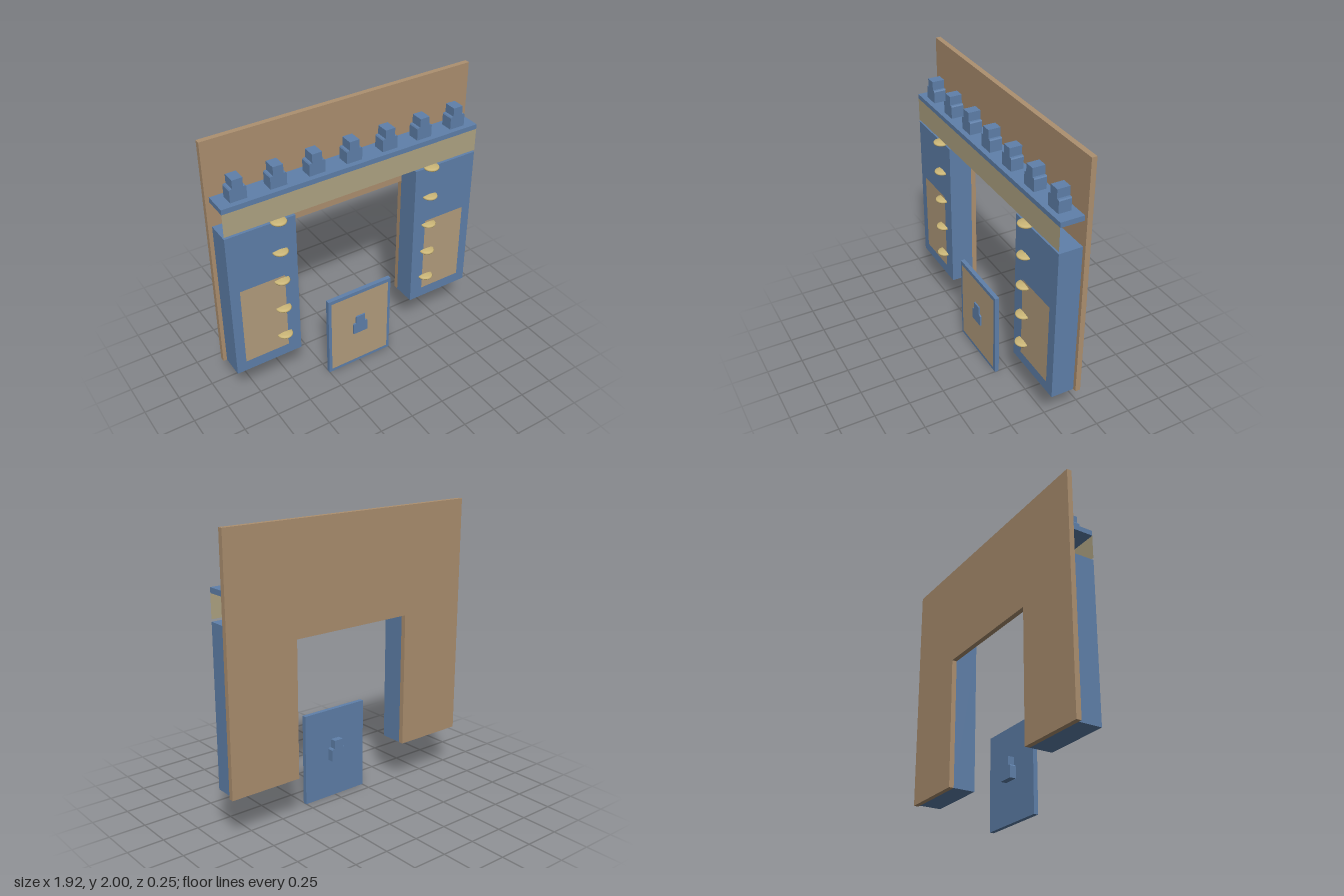
import * as THREE from 'three';

const paint = (color, extra = {}) => new THREE.MeshStandardMaterial({ color, ...extra });

export function createModel() {
  const model = new THREE.Group();
  const blue = paint(0x5f80aa);
  const wood = paint(0xad9070);
  const tan = paint(0xb39d7d, { side: THREE.DoubleSide });
  const sand = paint(0xb0a583, { side: THREE.DoubleSide });
  const brass = paint(0xcbb677);

  const add = (name, geometry, material, x = 0, y = 0, z = 0) => {
    const mesh = new THREE.Mesh(geometry, material);
    mesh.name = name;
    mesh.position.set(x, y, z);
    model.add(mesh);
    return mesh;
  };
  // Box and flat panel given by their limits
  const box = (name, mat, x0, x1, y0, y1, z0, z1) =>
    add(name, new THREE.BoxGeometry(x1 - x0, y1 - y0, z1 - z0), mat, (x0 + x1) / 2, (y0 + y1) / 2, (z0 + z1) / 2);
  const panel = (name, mat, x0, x1, y0, y1, z) =>
    add(name, new THREE.PlaneGeometry(x1 - x0, y1 - y0), mat, (x0 + x1) / 2, (y0 + y1) / 2, z);
  const extrude = (points, depth) => new THREE.ExtrudeGeometry(
    new THREE.Shape(points.map(([x, y]) => new THREE.Vector2(x, y))), { depth, bevelEnabled: false });

  // Arch-shaped back board
  const board = [[-0.96, 0.325], [-0.453, 0.325], [-0.453, 1.26], [0.453, 1.26],
    [0.453, 0.325], [0.96, 0.325], [0.96, 2], [-0.96, 2]];
  add('backBoard', extrude(board, 0.035), wood, 0, 0, -0.126);

  // Shelf and the thin fascia hanging from its front edge
  box('shelf', blue, -0.934, 0.934, 1.59, 1.625, -0.091, 0.069);
  panel('fascia', sand, -0.934, 0.934, 1.43, 1.592, 0.069);

  // Stepped figures along the shelf, and one set through the door
  const outline = [[0.056, 0], [0.056, 0.08], [0.051, 0.088], [0.035, 0.088], [0.035, 0.148]];
  const figure = extrude([...outline, ...outline.map(([x, y]) => [-x, y]).reverse()], 0.086);
  for (let i = -3; i <= 3; i++) add('shelfFigure', figure, blue, i * 0.2665 - 0.002, 1.625, -0.053);

  // Pillars with inset panels and a column of flattened knobs
  const knobProfile = [[0, -0.013], [0.03, -0.01], [0.05, -0.007], [0.054, 0], [0.05, 0.007], [0.03, 0.01], [0, 0.013]];
  const knob = new THREE.LatheGeometry(knobProfile.map(([r, y]) => new THREE.Vector2(r, y)), 20);
  for (const side of [-1, 1]) {
    const span = (a, b) => [Math.min(side * a, side * b), Math.max(side * a, side * b)];
    box('pillar', blue, ...span(0.453, 0.934), 0.325, 1.415, -0.091, 0.069);
    panel('pillarPanel', tan, ...span(0.548, 0.866), 0.403, 0.99, 0.071);
    for (let i = 0; i < 5; i++) add('knob', knob, brass, side * 0.573, 0.511 + i * 0.2263, 0.073);
  }

  // Door
  box('door', blue, -0.252, 0.252, 0, 0.641, 0.07, 0.1);
  panel('doorPanel', tan, -0.23, 0.23, 0.026, 0.615, 0.102);
  add('doorFigure', figure, blue, 0, 0.277, 0.027);

  return model;
}
